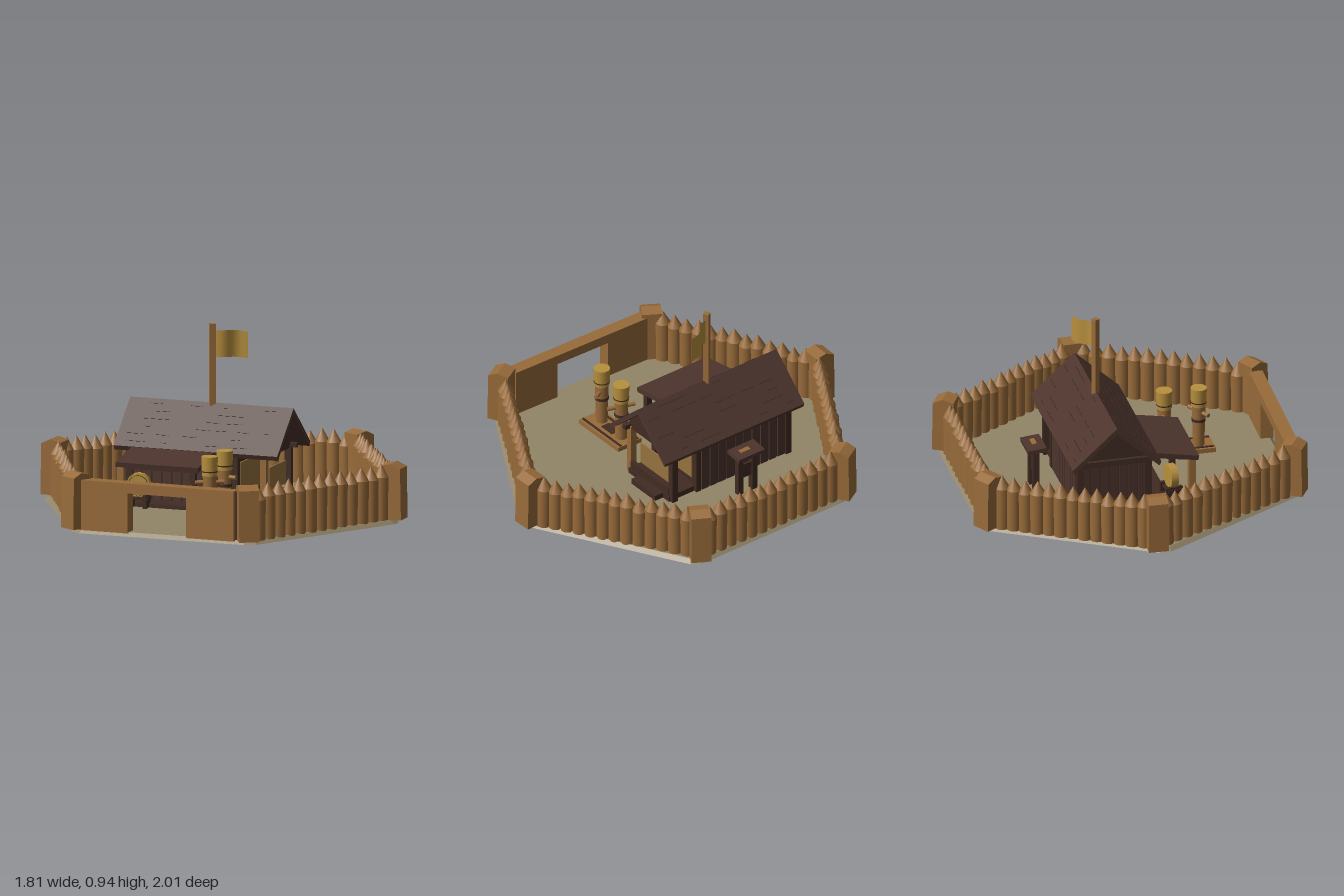
import * as THREE from 'three';

const mat = (name, color) => Object.assign(new THREE.MeshStandardMaterial({ color }), { name });

export function createModel() {
  const wood = mat('wood', 0x986b3a), ground = mat('ground', 0x928467), roofMat = mat('roof', 0x4d342d);
  const dark = mat('darkWood', 0x412b23), gold = mat('straw', 0xb8903e), pale = mat('hide', 0x96723f);
  gold.side = ground.side = THREE.DoubleSide;

  let seed = 7;
  const rnd = () => (seed = (seed * 16807) % 2147483647) / 2147483647;
  const root = new THREE.Group();
  root.name = 'fort';

  function add(parent, name, geo, m, x = 0, y = 0, z = 0) {
    const mesh = new THREE.Mesh(geo, m);
    mesh.name = name;
    mesh.position.set(x, y, z);
    parent.add(mesh);
    return mesh;
  }
  const box = (p, name, m, w, h, d, x, y, z) => add(p, name, new THREE.BoxGeometry(w, h, d), m, x, y, z);
  const cyl = (p, name, m, r, h, x, y, z, r2 = r) => add(p, name, new THREE.CylinderGeometry(r, r2, h, 14), m, x, y, z);
  const poly = pts => new THREE.Shape(pts.map(p => new THREE.Vector2(...p)));
  // extrude a (z, y) profile along x, from x0 to x1
  function prism(p, name, m, pts, x0, x1) {
    const g = new THREE.ExtrudeGeometry(poly(pts.map(([a, b]) => [-a, b])), { depth: x1 - x0, bevelEnabled: false });
    g.rotateY(Math.PI / 2);
    return add(p, name, g, m, x0);
  }
  function group(name, x = 0, y = 0, z = 0, ry = 0, parent = root) {
    const g = new THREE.Group();
    g.name = name;
    g.position.set(x, y, z);
    g.rotation.y = ry;
    parent.add(g);
    return g;
  }

  // ground: a hexagonal shell with clipped corners, open underneath
  const shell = new THREE.CylinderGeometry(0.942, 0.967, 0.02, 12), sp = shell.attributes.position;
  for (let i = 0; i < sp.count; i++) {
    const r = Math.hypot(sp.getX(i), sp.getZ(i));
    const k = Math.round(Math.atan2(sp.getX(i), sp.getZ(i)) / (Math.PI / 6));
    const a = Math.PI / 3 * Math.ceil(k / 2) + (k % 2 ? -0.032 : 0.032);
    sp.setXYZ(i, r * Math.sin(a), sp.getY(i), r * Math.cos(a));
  }
  shell.setIndex([...shell.index.array.slice(0, shell.groups[2].start)]);
  shell.clearGroups();
  const slab = shell.toNonIndexed();
  slab.computeVertexNormals();
  add(root, 'ground', slab, ground, 0, 0.01, 0);

  // corner posts with sloped tops
  const corners = [[-0.01, 0.945], [0.825, 0.445], [0.79, -0.48], [-0.01, -0.945], [-0.79, -0.5], [-0.825, 0.45]];
  for (const [x, z] of corners) {
    const g = group('cornerPost', x, 0, z, -Math.atan2(z, x) + Math.PI / 2);
    prism(g, 'post', wood, [[-0.055, 0.02], [0.06, 0.02], [0.055, 0.288], [0.005, 0.312], [-0.055, 0.298]], -0.052, 0.052);
  }

  // palisade of pointed logs on five sides
  for (let i = 0; i < 5; i++) {
    const [ax, az] = corners[i], [bx, bz] = corners[i + 1];
    const side = group('palisade'), n = 14;
    for (let k = 1; k < n; k++) {
      const t = k / n, h = 0.21 + rnd() * 0.02, r = 0.037 + rnd() * 0.005;
      const log = group('log', (ax + (bx - ax) * t) * 0.99, 0.015, (az + (bz - az) * t) * 0.99, rnd() * 3, side);
      log.rotation.z = (rnd() - 0.5) * 0.03;
      add(log, 'trunk', new THREE.CylinderGeometry(r, r * 0.97, h, 14, 1, true), wood, 0, h / 2, 0);
      add(log, 'point', new THREE.ConeGeometry(r, 0.07, 14, 1, true), wood, 0, h + 0.035, 0);
    }
  }

  // gate wall with its doorway
  const [gx, gz] = corners[5], dx = corners[0][0] - gx, dz = corners[0][1] - gz, L = Math.hypot(dx, dz);
  const gate = group('gateWall', gx, 0, gz, -Math.atan2(dz, dx));
  add(gate, 'gateFrame', new THREE.ExtrudeGeometry(
    poly([[0.03, 0.015], [0.3, 0.015], [0.3, 0.225], [0.625, 0.225], [0.625, 0.015], [L - 0.065, 0.015], [L - 0.065, 0.277], [0.03, 0.277]]),
    { depth: 0.07, bevelEnabled: false }), wood, 0, 0, -0.035);
  box(gate, 'gateJoint', dark, 0.04, 0.25, 0.03, L - 0.06, 0.145, 0);

  // long house: x runs along the ridge, +z faces the gate
  const house = group('house', -0.02, 0, -0.19, -Math.PI / 6);
  prism(house, 'walls', dark, [[-0.18, 0.018], [0.18, 0.018], [0.18, 0.335], [0, 0.5], [-0.18, 0.335]], -0.38, 0.2);
  prism(house, 'roof', roofMat,
    [[-0.225, 0.295], [0, 0.5], [0.225, 0.295], [0.235, 0.318], [0, 0.532], [-0.235, 0.318]], -0.452, 0.45);
  prism(house, 'frontGable', dark, [[-0.18, 0.29], [0.18, 0.29], [0.18, 0.335], [0, 0.5], [-0.18, 0.335]], 0.345, 0.365);
  // rows of thin shingle edges on both slopes
  for (const s of [-1, 1]) {
    const slope = group('shingles', 0, 0.532, 0, 0, house);
    slope.rotation.x = s * Math.atan2(0.214, 0.235);
    for (let k = 0; k < 30; k++) {
      box(slope, 'shingleEdge', dark, 0.03 + rnd() * 0.05, 0.003, 0.005,
        (rnd() - 0.5) * 0.8, 0.001, s * (0.03 + (k % 6) * 0.05));
    }
  }
  // wall planks and corner posts
  for (let k = 0; k < 7; k++) box(house, 'endPlank', roofMat, 0.008, 0.285, 0.042, -0.383, 0.165, -0.15 + k * 0.05);
  for (const s of [-1, 1]) {
    for (let k = 0; k < 10; k++) box(house, 'sidePlank', roofMat, 0.047, 0.28, 0.008, -0.34 + k * 0.055, 0.16, s * 0.183);
    box(house, 'eaveBeam', dark, 0.8, 0.025, 0.025, 0, 0.305, s * 0.18);
    box(house, 'rearPost', dark, 0.035, 0.3, 0.035, -0.38, 0.17, s * 0.18);
    box(house, 'verandaPost', s > 0 ? wood : dark, 0.035, 0.285, 0.035, 0.355, 0.163, s * 0.175);
    box(house, 'innerPost', dark, 0.03, 0.285, 0.03, 0.2, 0.163, s * 0.175);
  }
  box(house, 'rearBeam', dark, 0.03, 0.03, 0.4, -0.385, 0.31, 0);
  // veranda at the gable end
  box(house, 'verandaDeck', dark, 0.19, 0.03, 0.34, 0.285, 0.035, 0);
  box(house, 'verandaRail', dark, 0.02, 0.06, 0.32, 0.365, 0.065, 0);
  box(house, 'verandaStep', dark, 0.07, 0.03, 0.2, 0.395, 0.034, -0.02);
  box(house, 'hidePanel', pale, 0.008, 0.17, 0.28, 0.206, 0.17, 0);
  box(house, 'hideScreen', pale, 0.008, 0.12, 0.24, 0.35, 0.17, -0.02);

  // side porch with a lean-to roof
  const porch = group('sidePorch', 0, 0, 0, 0, house);
  prism(porch, 'porchRoof', roofMat, [[0.16, 0.3], [0.455, 0.25], [0.46, 0.275], [0.16, 0.33]], -0.355, 0.1);
  box(porch, 'outerPost', wood, 0.035, 0.235, 0.035, -0.335, 0.138, 0.425);
  box(porch, 'innerPost', dark, 0.03, 0.235, 0.03, 0.06, 0.138, 0.42);
  box(porch, 'porchBeam', dark, 0.42, 0.022, 0.022, -0.125, 0.25, 0.42);
  box(porch, 'porchDeck', dark, 0.4, 0.02, 0.12, -0.125, 0.03, 0.25);
  box(porch, 'doorway', roofMat, 0.12, 0.2, 0.008, -0.02, 0.13, 0.19);

  // round straw target on a stand under the porch
  const target = group('target', -0.276, 0.14, 0.33, 0.15, house);
  cyl(target, 'disc', gold, 0.063, 0.04, 0, 0, 0).rotation.x = Math.PI / 2;
  cyl(target, 'hub', dark, 0.007, 0.008, 0, 0, 0.02).rotation.x = Math.PI / 2;
  add(target, 'ring', new THREE.TorusGeometry(0.052, 0.0015, 6, 20), dark, 0, 0, 0.02);
  for (const s of [-1, 1]) box(target, 'standLeg', dark, 0.02, 0.07, 0.09, s * 0.04, -0.083, 0);
  box(target, 'standTop', dark, 0.11, 0.014, 0.07, 0, -0.066, 0);

  // small shelter behind the house
  const shelter = group('shelter', 0.145, 0, -0.475, -Math.PI / 6);
  for (const x of [-0.045, 0.045]) box(shelter, 'shelterPost', dark, 0.032, 0.24, 0.032, x, 0.138, 0);
  box(shelter, 'shelterRoof', roofMat, 0.168, 0.022, 0.1, 0, 0.262, 0).rotation.x = -0.1;
  box(shelter, 'shelterBack', dark, 0.09, 0.08, 0.012, 0, 0.15, 0);
  box(shelter, 'patch', wood, 0.06, 0.008, 0.025, 0.01, 0.274, 0).rotation.x = -0.1;

  // two practice dummies on a plank base
  const yard = group('practiceYard', -0.075, 0, 0.37, -Math.PI / 6);
  box(yard, 'plankBase', wood, 0.15, 0.025, 0.33, 0, 0.032, 0);
  for (const x of [-0.055, 0.055]) box(yard, 'baseRail', dark, 0.012, 0.008, 0.32, x, 0.045, 0);
  box(yard, 'baseGap', dark, 0.05, 0.004, 0.09, 0, 0.045, 0);
  for (const [x, z, turn] of [[-0.013, 0.088, 0.5], [0, -0.092, -0.3]]) {
    const d = group('dummy', x, 0, z, turn, yard);
    cyl(d, 'body', wood, 0.036, 0.25, 0, 0.16, 0, 0.03);
    cyl(d, 'collar', gold, 0.04, 0.02, 0, 0.28, 0);
    cyl(d, 'head', gold, 0.043, 0.076, 0, 0.332, 0, 0.041);
    cyl(d, 'headBand', dark, 0.042, 0.006, 0, 0.292, 0);
    cyl(d, 'arms', wood, 0.011, 0.15, 0, 0.235, 0).rotation.z = Math.PI / 2;
    cyl(d, 'belt', dark, 0.037, 0.015, 0, 0.19, 0);
  }

  // flagpole and waving flag
  box(root, 'flagpole', wood, 0.03, 0.5, 0.03, -0.018, 0.695, -0.19);
  const flag = new THREE.PlaneGeometry(0.17, 0.14, 16, 4), p = flag.attributes.position;
  for (let i = 0; i < p.count; i++) {
    const t = p.getX(i) / 0.17 + 0.5;
    p.setZ(i, 0.01 * Math.sin(t * 7));
    p.setY(i, p.getY(i) - 0.012 * t * t);
  }
  flag.computeVertexNormals();
  add(root, 'flag', flag, gold, 0.081, 0.84, -0.19);

  return root;
}
